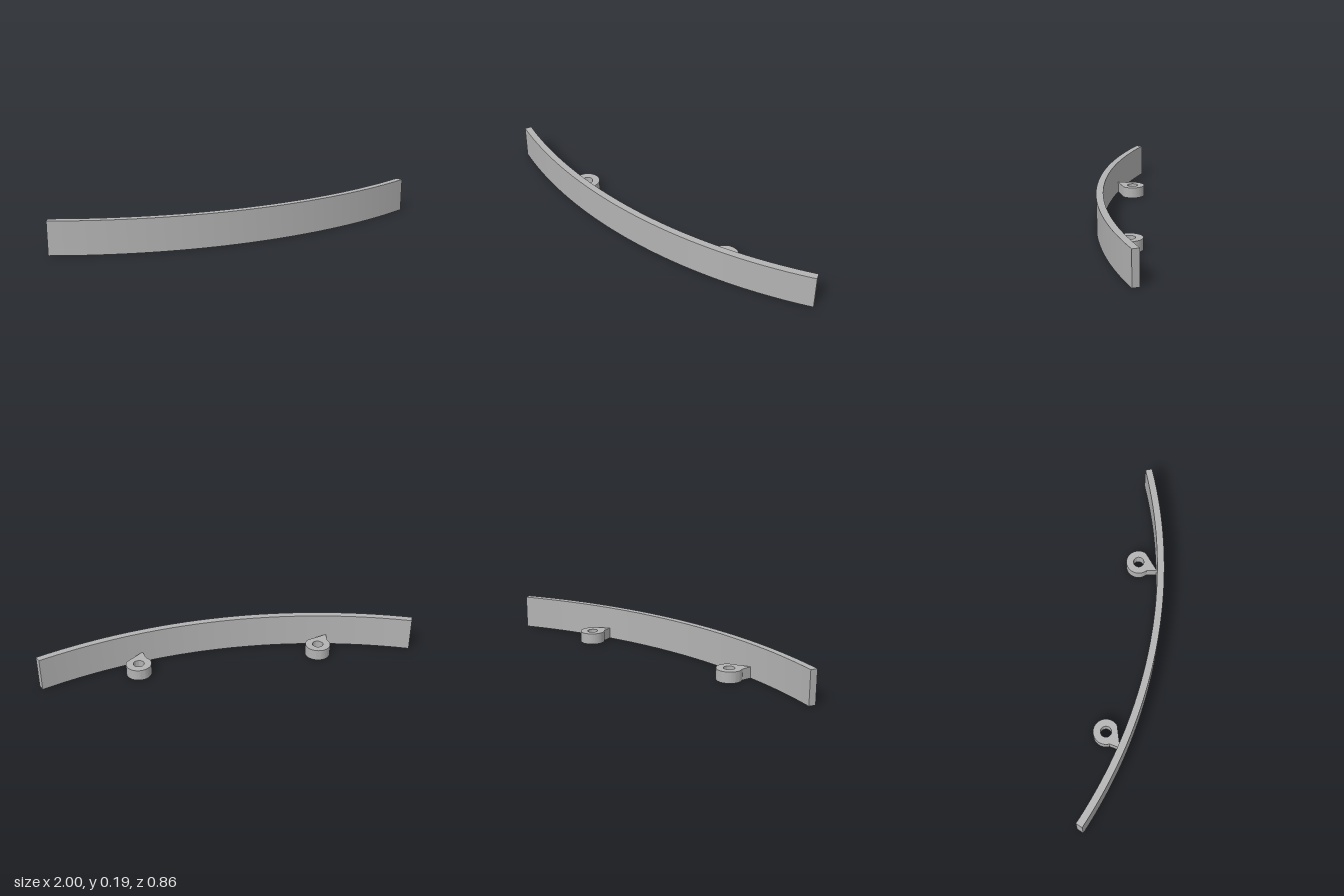
import * as THREE from 'three';
import { toCreasedNormals } from 'three/addons/utils/BufferGeometryUtils.js';

const OUTER_R = 2.828, INNER_R = 2.788;   // curved band radii
const CX = -1, CZ = -2.4;                 // centre of curvature
const BAND_H = 0.192, LUG_H = 0.064;

// Extrude a plan shape upwards from y = 0 (shape y becomes -z)
function extrudeUp(shape, height, curveSegments) {
  const geo = new THREE.ExtrudeGeometry(shape, { depth: height, bevelEnabled: false, curveSegments });
  geo.rotateX(-Math.PI / 2);
  return toCreasedNormals(geo, 0.5);
}

export function createModel() {
  const model = new THREE.Group();
  model.name = 'curvedPanel';
  const grey = new THREE.MeshStandardMaterial({ color: 0xb3b3b3 });
  grey.name = 'plain grey';

  // Curved band: an eighth of a ring
  const arc = new THREE.Shape();
  arc.absarc(CX, -CZ, OUTER_R, -Math.PI / 2, -Math.PI / 4, false);
  arc.absarc(CX, -CZ, INNER_R, -Math.PI / 4, -Math.PI / 2, true);
  arc.closePath();
  const band = new THREE.Mesh(extrudeUp(arc, BAND_H, 32), grey);
  band.name = 'curvedBand';
  model.add(band);

  // Mounting lug: round eye with a straight neck reaching the band
  const r = 0.072, neck = 0.057, reach = 0.106;
  const a0 = -Math.acos(neck / r);
  const lug = new THREE.Shape();
  lug.moveTo(neck, -reach);
  lug.absarc(0, 0, r, a0, Math.PI - a0, false);
  lug.lineTo(-neck, -reach);
  lug.closePath();
  const hole = new THREE.Path();
  hole.absarc(0, 0, 0.031, 0, Math.PI * 2, true);
  lug.holes.push(hole);
  const lugGeo = extrudeUp(lug, LUG_H, 32);

  // Two lugs on the inner face, at a quarter and three quarters of the arc
  const lugR = 2.684;
  [['rightLug', Math.PI / 16], ['leftLug', 3 * Math.PI / 16]].forEach(([name, a]) => {
    const mesh = new THREE.Mesh(lugGeo, grey);
    mesh.name = name;
    mesh.position.set(CX + lugR * Math.sin(a), 0, CZ + lugR * Math.cos(a));
    mesh.rotation.y = a;
    model.add(mesh);
  });

  return model;
}
